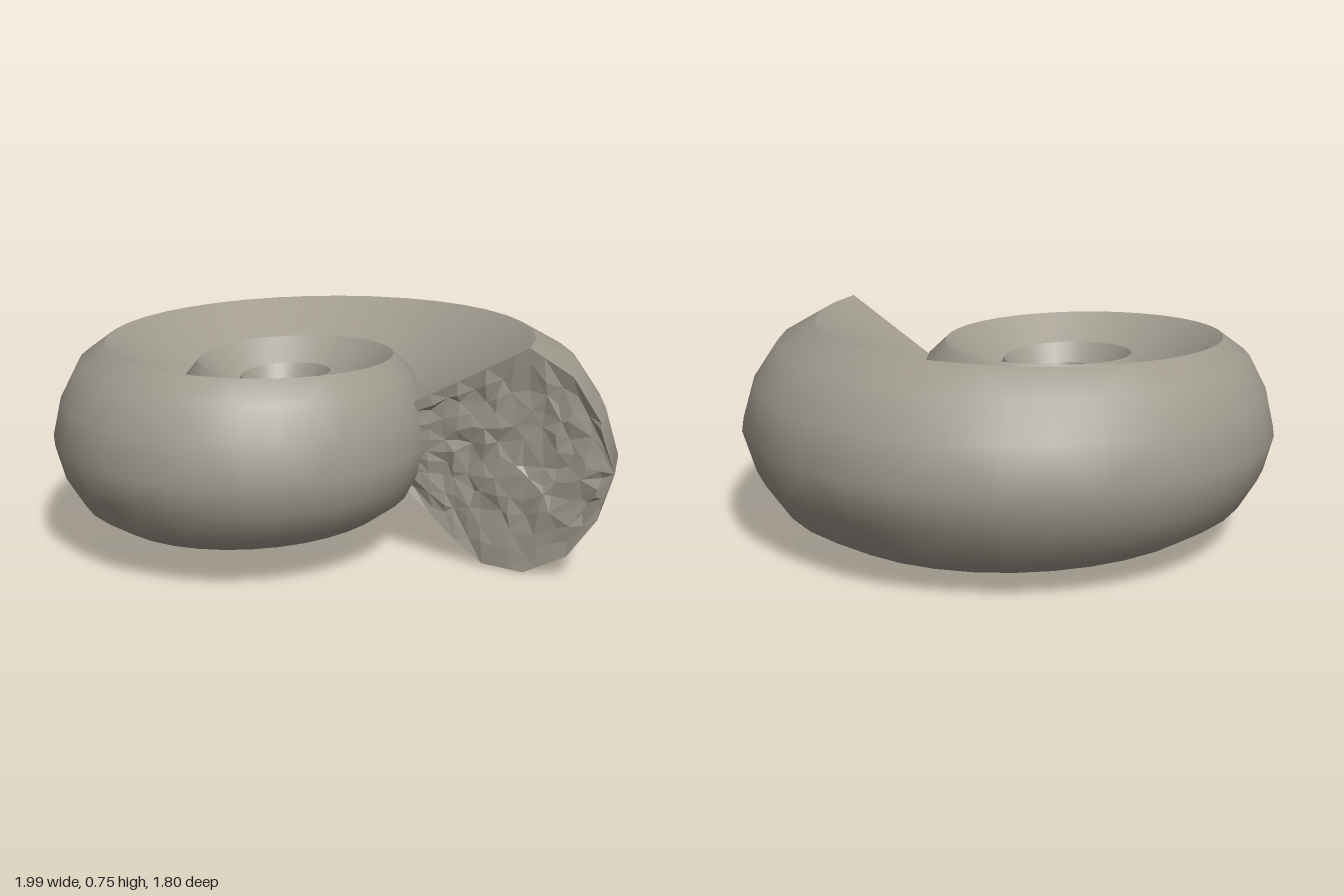
import * as THREE from 'three';

const CENTRE = { x: -0.195, y: 0.3775, z: 0.165 };
const TURNS = 4.25;
const STEPS_PER_TURN = 36;
const MOUTH_ANGLE = 0.206;

// Cross-section as [share of radius, share of height]: straight upper wall,
// bulging lower wall, sharp rims and a rounded outside
const RIM = [0.76, 1];
const UPPER_WALL = [[0.40, 0.36], [0.58, 0.68], RIM];
const LOWER_WALL = [[0.40, 0.36], [0.56, 0.80], [0.64, 0.98], RIM];
const OUTSIDE = [RIM, [0.88, 0.79], [0.96, 0.42], [1, 0]];
const mirror = (points) => points.map(([u, h]) => [u, -h]).reverse();

// Point on the shell: t = turns back from the mouth, (u, h) = cross-section position.
// The underside closes in faster towards the centre than the top.
function shellPoint(t, u, h, push = 0) {
  const r = 1.213 * Math.pow(2.17, -t) * u;
  const height = 0.3775 * Math.pow(h > 0 ? 1.3 : 1.63, -t) * h;
  const a = MOUTH_ANGLE - t * Math.PI * 2;
  return [
    CENTRE.x + r * Math.cos(a) - push * Math.sin(a),
    CENTRE.y + height,
    CENTRE.z + 1.098 * r * Math.sin(a) + push * Math.cos(a),
  ];
}

// Smooth indexed surface from point(i, j)
function grid(rows, cols, point) {
  const pos = [], index = [];
  for (let i = 0; i <= rows; i++) {
    for (let j = 0; j <= cols; j++) {
      pos.push(...point(i, j));
      if (i < rows && j < cols) {
        const a = i * (cols + 1) + j, c = a + cols + 1;
        if ((i + j) % 2) index.push(a, a + 1, c, a + 1, c + 1, c);
        else index.push(a, a + 1, c + 1, a, c + 1, c);
      }
    }
  }
  const g = new THREE.BufferGeometry();
  g.setAttribute('position', new THREE.Float32BufferAttribute(pos, 3));
  g.setIndex(index);
  g.computeVertexNormals();
  return g;
}

// Height of the cross-section at radius share u
function heightAt(wall, u) {
  const line = [...wall, ...OUTSIDE.slice(1)];
  const k = Math.max(1, line.findIndex((p) => p[0] >= u - 1e-6));
  const [a, b] = [line[k - 1], line[k]];
  return a[1] + (b[1] - a[1]) * (u - a[0]) / (b[0] - a[0]);
}

// Seeded noise from -0.5 to 0.5
function noise(i, j) {
  const s = Math.sin(i * 127.1 + j * 311.7) * 43758.5453;
  return s - Math.floor(s) - 0.5;
}

export function createModel() {
  const group = new THREE.Group();
  group.name = 'spiralShell';
  const color = 0xa09a8e;
  const smooth = new THREE.MeshStandardMaterial({ color, side: THREE.DoubleSide });
  const rough = new THREE.MeshStandardMaterial({ color, flatShading: true, side: THREE.DoubleSide });
  const add = (name, geometry, material) => {
    const mesh = new THREE.Mesh(geometry, material);
    mesh.name = name;
    group.add(mesh);
    return mesh;
  };

  // Coiled shell: three strips so the rims stay sharp
  const sweep = (name, profile) => add(name,
    grid(TURNS * STEPS_PER_TURN, profile.length - 1, (i, j) =>
      shellPoint(i / STEPS_PER_TURN, ...profile[j])), smooth);
  sweep('outerWhorl', [...OUTSIDE, ...mirror(OUTSIDE).slice(1)]);
  sweep('upperUmbilicalWall', UPPER_WALL);
  sweep('lowerUmbilicalWall', mirror(LOWER_WALL));

  // Rounded first chamber at the centre of the coil
  const nucleus = add('nucleus', new THREE.SphereGeometry(0.034, 16, 12), smooth);
  nucleus.scale.y = 2.4;
  nucleus.position.set(CENTRE.x, CENTRE.y + 0.03, CENTRE.z);

  // Mouth filled with rough, broken stone
  const rows = 12, cols = 15, foot = UPPER_WALL[0][0];
  const fill = grid(rows, cols, (i, j) => {
    const inside = i > 0 && i < rows && j > 0 && j < cols ? 1 : 0;
    const u = foot + (1 - foot) * (j + inside * 0.6 * noise(i + 20, j)) / cols;
    const s = -1 + 2 * (i + inside * 0.6 * noise(i, j + 40)) / rows;
    const h = s * heightAt(s > 0 ? UPPER_WALL : LOWER_WALL, u);
    return shellPoint(0, u, h, inside * (0.018 * noise(i, j) - 0.004));
  }).toNonIndexed();
  fill.computeVertexNormals();
  add('mouthFill', fill, rough);

  return group;
}
